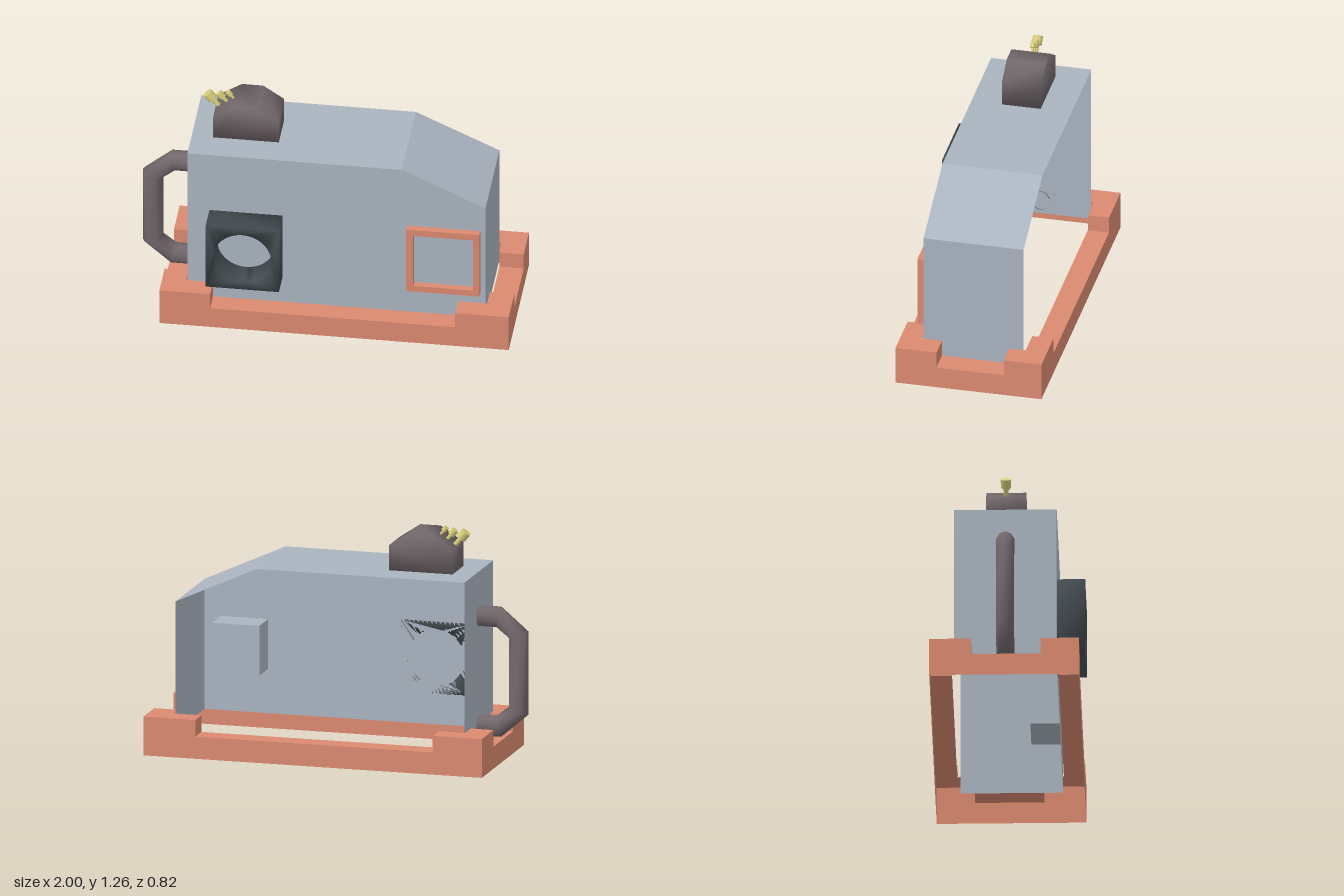
import * as THREE from 'three';
import { mergeVertices } from 'three/addons/utils/BufferGeometryUtils.js';

const paint = (color, flatShading = false) =>
  new THREE.MeshStandardMaterial({ color, flatShading, side: THREE.DoubleSide });

const steel = paint(0xaab4c0, true);
const clay = paint(0xdb8a70, true);
const umber = paint(0x72686b);
const slate = paint(0x434b50);
const brass = paint(0xd8ce7c);

function part(name, geometry, material) {
  const mesh = new THREE.Mesh(geometry, material);
  mesh.name = name;
  return mesh;
}

const polygon = pts => new THREE.Shape(pts.map(p => new THREE.Vector2(...p)));
const rect = (x0, x1, y0, y1) => [[x0, y0], [x1, y0], [x1, y1], [x0, y1]];

// Extrude a shape from z0 to z1
function slab(shape, z0, z1) {
  return new THREE.ExtrudeGeometry(shape, { depth: z1 - z0, bevelEnabled: false, curveSegments: 20 })
    .translate(0, 0, z0);
}

// Share the vertices so the shading runs across the edges
function smooth(geometry) {
  geometry.deleteAttribute('normal');
  geometry.deleteAttribute('uv');
  const merged = mergeVertices(geometry, 1e-4);
  merged.computeVertexNormals();
  return merged;
}

// Surface through rows of points, each row having the same count
function loft(rows, flat) {
  const n = rows[0].length, index = [];
  for (let i = 0; i < rows.length - 1; i++)
    for (let j = 0; j < n - 1; j++) {
      const a = i * n + j, b = a + n;
      index.push(a, b, a + 1, b, b + 1, a + 1);
    }
  let g = new THREE.BufferGeometry();
  g.setAttribute('position', new THREE.Float32BufferAttribute(rows.flat(2), 3));
  g.setIndex(index);
  if (flat) g = g.toNonIndexed();
  g.computeVertexNormals();
  return g;
}

// Hollow kerb with raised corners: outer wall and top only
function makeBase() {
  const low = 0.12, high = 0.21;
  const outer = [[-0.86, 0.38], [1, 0.38], [1, -0.41], [-0.86, -0.41]];
  const inner = [[-0.735, 0.268], [0.87, 0.268], [0.87, -0.295], [-0.735, -0.295]];
  // Where each side drops to the low rail: along x, z, x, z in turn
  const notch = [[-0.59, 0.715], [0.158, -0.207], [0.715, -0.59], [-0.19, 0.178]];
  const rows = [];
  const add = (o, i, h) => rows.push([[o[0], 0, o[1]], [o[0], h, o[1]], [i[0], h, i[1]]]);
  for (let s = 0; s < 4; s++) {
    add(outer[s], inner[s], high);
    notch[s].forEach((t, k) => {
      const at = p => (s % 2 ? [p[0], t] : [t, p[1]]);
      const steps = k ? [low, high] : [high, low];
      steps.forEach(h => add(at(outer[s]), at(inner[s]), h));
    });
  }
  add(outer[0], inner[0], high);
  return part('base', loft(rows, true), clay);
}

// Housing with a sloped end, open at the back and below
function makeHousing() {
  const group = new THREE.Group();
  group.name = 'housing';
  const front = 0.26, back = -0.282;
  const outline = [[0.86, 0.11], [0.86, 0.815], [0.415, 1.02], [-0.727, 1.02], [-0.727, 0.11]];
  const face = new THREE.ShapeGeometry(polygon(outline)).translate(0, 0, front);
  const shell = loft(outline.map(([x, y]) => [[x, y, front], [x, y, back]]), true);
  group.add(part('frontWall', face, steel), part('roofAndEndWalls', shell, steel));
  const box = new THREE.BoxGeometry(0.26, 0.27, 0.165).translate(0.64, 0.485, 0.177);
  group.add(part('innerBox', box, steel));
  return group;
}

// Square block with a round opening
function makePort() {
  const shape = polygon(rect(-0.61, -0.22, 0.277, 0.667));
  shape.holes.push(new THREE.Path().absarc(-0.415, 0.472, 0.153, 0, Math.PI * 2, true));
  return part('roundPort', smooth(slab(shape, 0.26, 0.408)), slate);
}

// Square window surround
function makeFrame() {
  const shape = polygon(rect(0.443, 0.833, 0.272, 0.667));
  shape.holes.push(new THREE.Path(rect(0.48, 0.8, 0.308, 0.63).map(p => new THREE.Vector2(...p))));
  return part('windowFrame', slab(shape, 0.262, 0.3), clay);
}

// Cap on the roof
function makeCap() {
  const outline = [[-0.613, 1.02], [-0.263, 1.02], [-0.263, 1.155], [-0.375, 1.23], [-0.487, 1.23], [-0.613, 1.15]];
  return part('roofCap', smooth(slab(polygon(outline), -0.115, 0.095)), umber);
}

// Round bar bent around the end, mitred at its corners
function makeHandle() {
  const sides = 10;
  // Outer and inner edge of the bar at each bend
  const bends = [
    [-0.72, 0.838, -0.72, 0.725], [-0.85, 0.838, -0.825, 0.725],
    [-1, 0.71, -0.892, 0.672], [-1, 0.262, -0.892, 0.298],
    [-0.85, 0.132, -0.825, 0.245], [-0.72, 0.132, -0.72, 0.245],
  ];
  const rows = bends.map(([x0, y0, x1, y1]) => Array.from({ length: sides + 1 }, (_, i) => {
    const a = (i / sides) * Math.PI * 2, t = (1 - Math.cos(a)) / 2;
    return [x0 + (x1 - x0) * t, y0 + (y1 - y0) * t, -0.009 + 0.05 * Math.sin(a)];
  }));
  return part('handle', smooth(loft(rows, false).toNonIndexed().setAttribute('uv',
    new THREE.Float32BufferAttribute([], 2))), umber);
}

// Three knobs of falling size on the sloped side of the cap
function makeKnobs() {
  const group = new THREE.Group();
  group.name = 'knobs';
  const sizes = [[-0.592, 1.15, 0.027, 0.08], [-0.553, 1.183, 0.02, 0.052], [-0.515, 1.205, 0.015, 0.042]];
  for (const [x, y, r, reach] of sizes) {
    const knob = new THREE.Group();
    knob.name = 'knob';
    knob.position.set(x, y, -0.01);
    knob.rotation.z = 0.69;
    const stem = new THREE.CylinderGeometry(r * 0.5, r * 0.5, reach, 10).translate(0, reach / 2, 0);
    const head = new THREE.CylinderGeometry(r, r, r * 1.7, 12).translate(0, reach, 0);
    knob.add(part('knobStem', stem, brass), part('knobHead', head, brass));
    group.add(knob);
  }
  return group;
}

export function createModel() {
  const model = new THREE.Group();
  model.name = 'machine';
  model.add(makeBase(), makeHousing(), makePort(), makeFrame(), makeCap(), makeHandle(), makeKnobs());
  return model;
}
